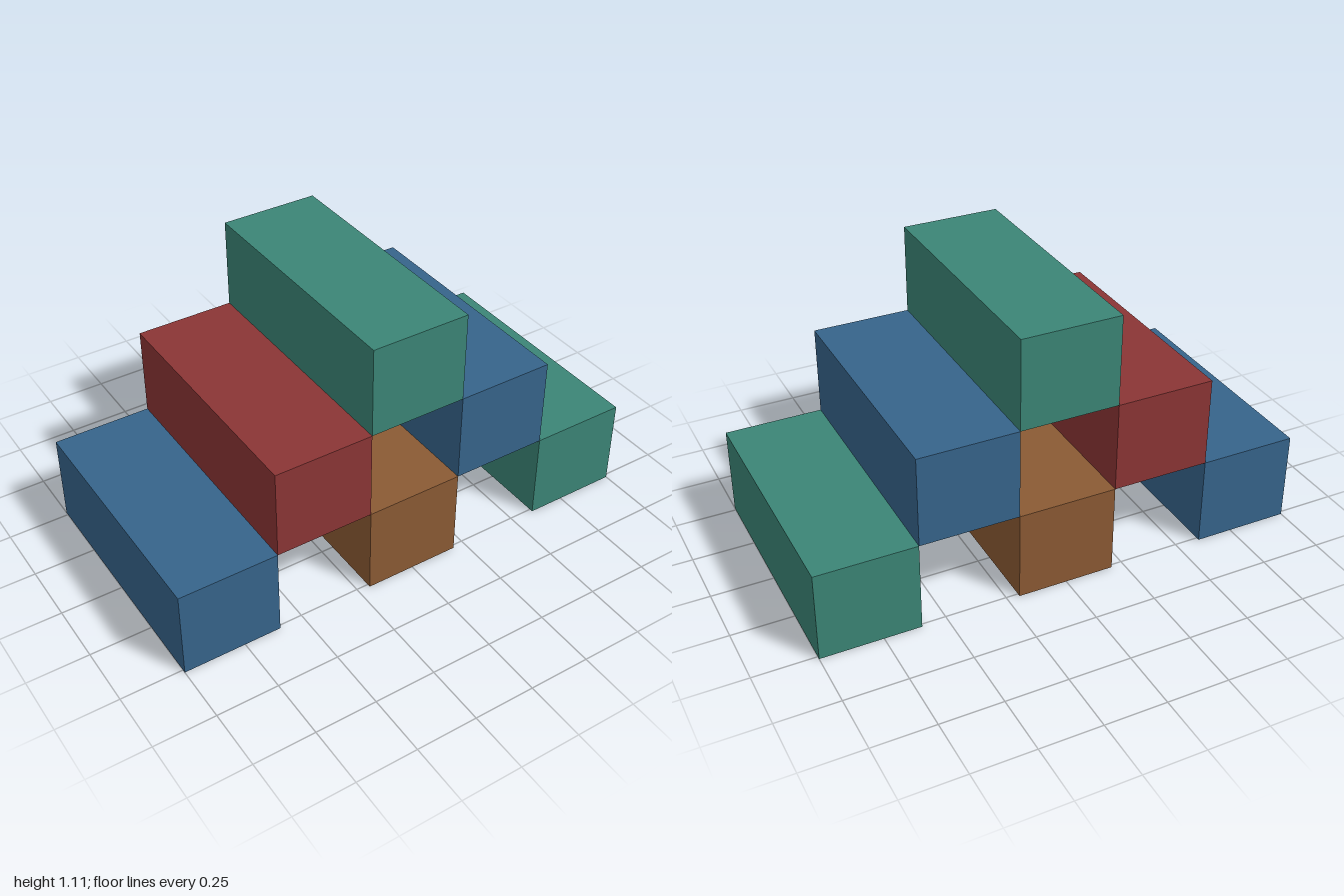
import * as THREE from 'three';

const WIDTH = 0.4, HEIGHT = 0.3685, DEPTH = 1.028;

function paint(name, color) {
  const material = new THREE.MeshStandardMaterial({ color });
  material.name = name;
  return material;
}

export function createModel() {
  const blue = paint('blue', 0x36648b);
  const red = paint('red', 0x8b3535);
  const green = paint('green', 0x3b8576);
  const brown = paint('brown', 0x8b5a34);

  const model = new THREE.Group();
  model.name = 'blockPyramid';
  const block = new THREE.BoxGeometry(WIDTH, HEIGHT, DEPTH);

  // Blocks by row: name, column (in block widths from the centre), row, colour
  const blocks = [
    ['bottomRightBlock', -2, 0, blue],
    ['bottomMiddleBlock', 0, 0, brown],
    ['bottomLeftBlock', 2, 0, green],
    ['middleRightBlock', -1, 1, red],
    ['middleLeftBlock', 1, 1, blue],
    ['topBlock', 0, 2, green],
  ];
  for (const [name, column, row, material] of blocks) {
    const mesh = new THREE.Mesh(block, material);
    mesh.name = name;
    mesh.position.set(column * WIDTH, (row + 0.5) * HEIGHT, 0);
    model.add(mesh);
  }
  return model;
}
